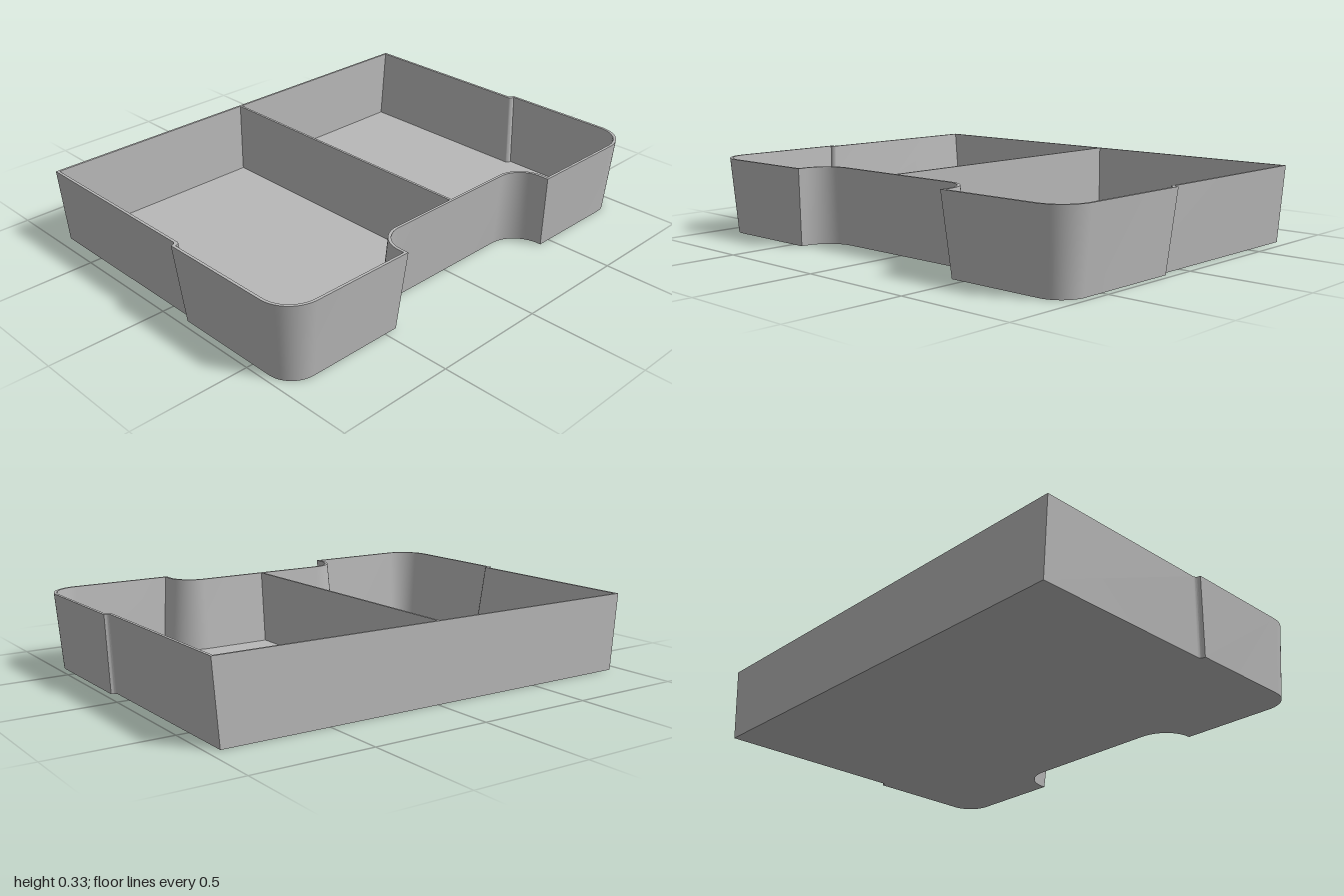
import * as THREE from 'three';
import { toCreasedNormals } from 'three/addons/utils/BufferGeometryUtils.js';

const HEIGHT = 0.33, FLOOR = 0.012, WALL = 0.012, TAPER = 0.028;

// Points [x, z] along an arc, angles in degrees
function arc(cx, cz, r, from, to, n = 14) {
  return Array.from({ length: n + 1 }, (_, i) => {
    const a = THREE.MathUtils.degToRad(from + (to - from) * i / n);
    return [cx + r * Math.cos(a), cz + r * Math.sin(a)];
  });
}

// Tray outline at height y, moved inward by d (the flat left side by leftInset)
function outline(y, d, leftInset = 0, roundStep = false) {
  const step = 0.09 + d, z = 0.978 - d;
  const half = [
    [-0.73 + leftInset, z],
    ...(roundStep ? arc(step - 0.018, z + 0.018, 0.018, -90, 0, 6) : [[step, z]]),
    [step, 1 - d],
    ...arc(0.59, 0.86, 0.14 - d, 90, 0),
    [0.73 - d, 0.415 + d],
    ...arc(0.69, 0.305, 0.11 + d, 90, 180),
  ];
  const mirrored = half.map(([x, pz]) => [x, -pz]).reverse();
  return [...half, ...mirrored].map(([x, pz]) => new THREE.Vector3(x, y, pz));
}

// Closed band of quads between two outlines
function band(a, b) {
  const pos = [];
  a.forEach((p, i) => {
    const j = (i + 1) % a.length;
    for (const v of [p, a[j], b[j], p, b[j], b[i]]) pos.push(v.x, v.y, v.z);
  });
  const g = new THREE.BufferGeometry();
  g.setAttribute('position', new THREE.Float32BufferAttribute(pos, 3));
  return toCreasedNormals(g, 0.5);
}

// Flat face filling an outline, facing up (1) or down (-1)
function cap(ring, up) {
  const shape = new THREE.Shape(ring.map(p => new THREE.Vector2(p.x, -up * p.z)));
  return new THREE.ShapeGeometry(shape).rotateX(-up * Math.PI / 2).translate(0, ring[0].y, 0);
}

export function createModel() {
  const model = new THREE.Group();
  model.name = 'dividedTray';
  const grey = new THREE.MeshStandardMaterial({ color: 0xb8b8b8 });
  grey.name = 'grey';
  const add = (name, geometry) => {
    const mesh = new THREE.Mesh(geometry, grey);
    mesh.name = name;
    model.add(mesh);
  };

  const outerBottom = outline(0, TAPER, 0, true);
  const outerTop = outline(HEIGHT, 0, 0, true);
  const innerTop = outline(HEIGHT, WALL, 0.01, true);
  const innerFloor = outline(FLOOR, TAPER + WALL, 0.01, true);

  // Tapered shell
  add('outerWall', band(outerBottom, outerTop));
  add('rim', band(outerTop, innerTop));
  add('innerWall', band(innerTop, innerFloor));
  add('floor', cap(innerFloor, 1));
  add('underside', cap(outerBottom, -1));

  // Thin centre divider, sloped to meet the notch wall
  const side = new THREE.Shape([
    [-0.722, FLOOR], [0.542, FLOOR], [0.57, HEIGHT], [-0.722, HEIGHT],
  ].map(([x, y]) => new THREE.Vector2(x, y)));
  add('divider', new THREE.ExtrudeGeometry(side, { depth: 0.01, bevelEnabled: false }).translate(0, 0, -0.005));

  return model;
}
